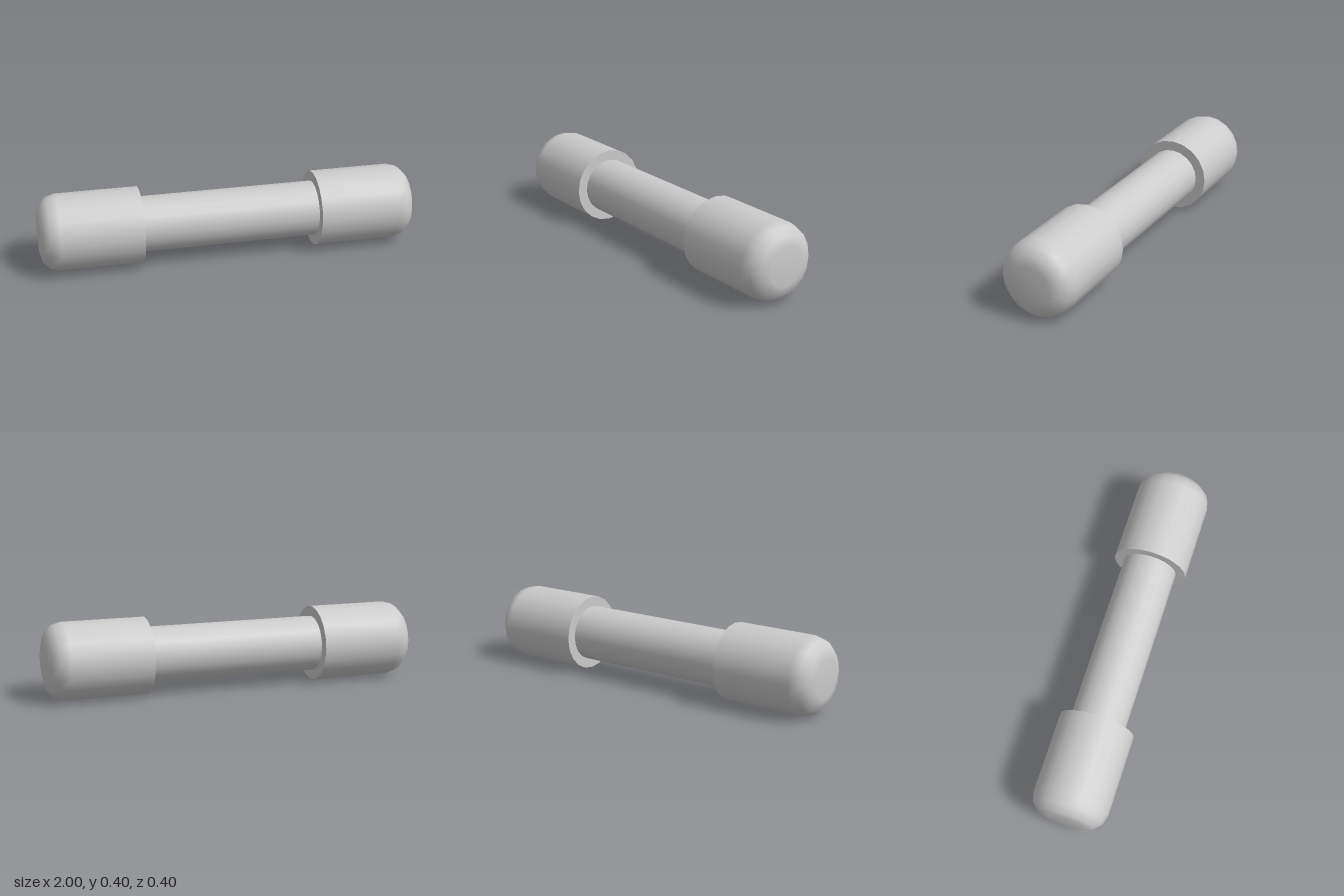
import * as THREE from 'three';

const R = 0.201, SIDES = 20, ROUND = 0.1, INNER = 0.47;

// Cap profile from the inner face to the rounded outer end; repeated point = hard edge
function capGeometry() {
  const pts = [[0, INNER], [R, INNER], [R, INNER]].map(p => new THREE.Vector2(...p));
  for (let i = 0; i <= 3; i++) {
    const a = (i / 3) * Math.PI / 2;
    pts.push(new THREE.Vector2(R - ROUND + ROUND * Math.cos(a), 1 - ROUND + ROUND * Math.sin(a)));
  }
  pts.push(new THREE.Vector2(0, 1));
  const geo = new THREE.LatheGeometry(pts, SIDES);
  geo.normalizeNormals();
  return geo;
}

export function createModel() {
  const group = new THREE.Group();
  const mat = new THREE.MeshStandardMaterial({ color: 0xcccccc });

  const add = (name, geo, turn) => {
    const mesh = new THREE.Mesh(geo, mat);
    mesh.name = name;
    mesh.rotation.z = turn;
    mesh.position.y = R;
    group.add(mesh);
  };

  // Slim tube between the caps
  add('tube', new THREE.CylinderGeometry(0.147, 0.147, INNER * 2, SIDES, 1, true), -Math.PI / 2);

  // Rounded end caps
  add('leftCap', capGeometry(), -Math.PI / 2);
  add('rightCap', capGeometry(), Math.PI / 2);

  return group;
}
